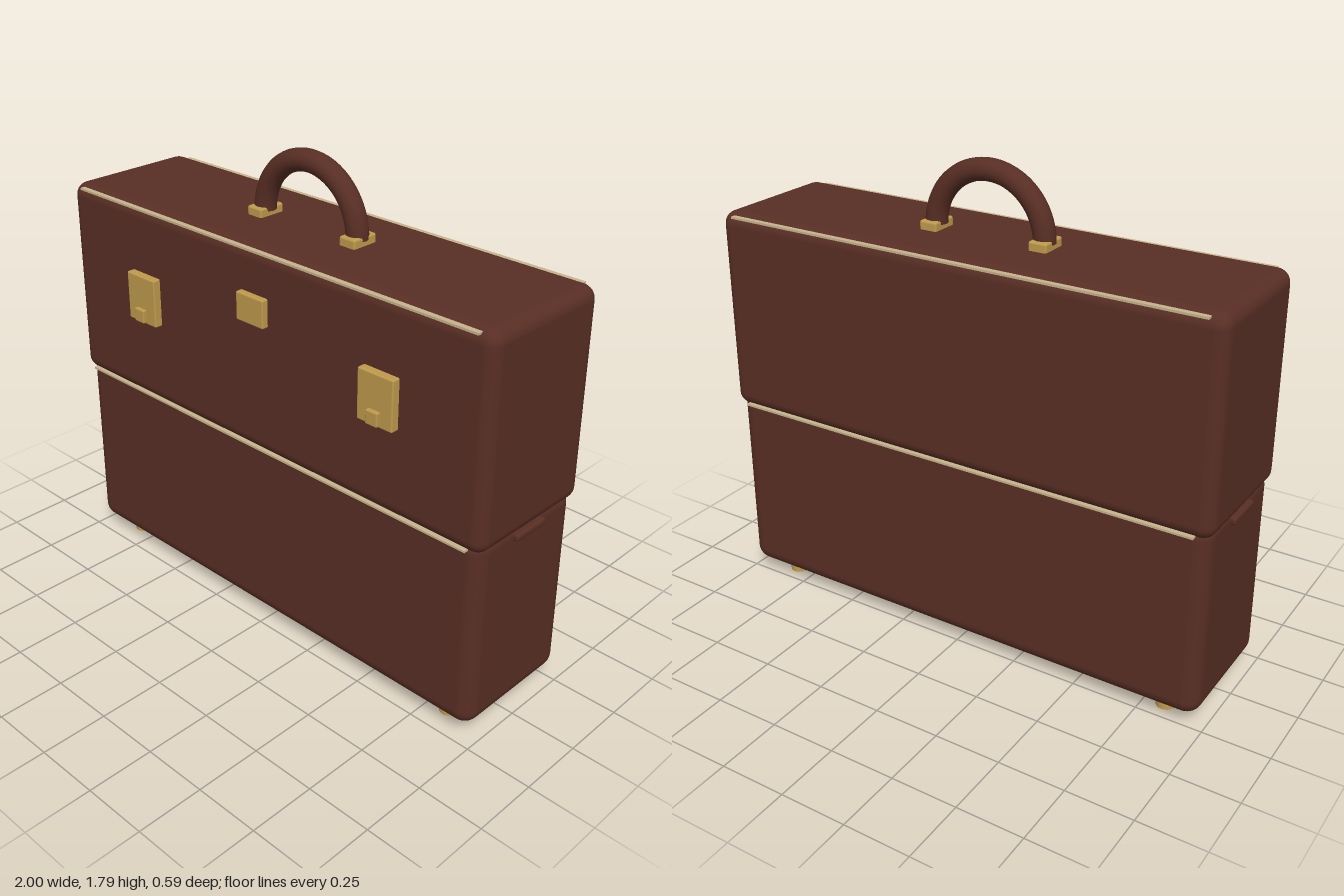
import * as THREE from 'three';
import { RoundedBoxGeometry } from 'three/addons/geometries/RoundedBoxGeometry.js';

const material = (name, color) => {
  const m = new THREE.MeshStandardMaterial({ color });
  m.name = name;
  return m;
};

export function createModel() {
  const model = new THREE.Group();
  model.name = 'briefcase';
  const leather = material('brown leather', 0x582e24);
  const brass = material('brass', 0xbf9a4c);
  const thread = material('beige stitching', 0xc6b48c);
  const midZ = -0.02;

  const add = (name, geometry, mat, x, y, z) => {
    const mesh = new THREE.Mesh(geometry, mat);
    mesh.name = name;
    mesh.position.set(x, y, z);
    model.add(mesh);
    return mesh;
  };
  const rounded = (w, h, d, r, n = 5) => new RoundedBoxGeometry(w, h, d, n, r);

  // Case: lower body with a slightly larger lid over it
  add('lowerBody', rounded(1.965, 0.75, 0.515, 0.06), leather, 0, 0.425, midZ);
  add('lid', rounded(1.99, 0.77, 0.54, 0.05), leather, 0, 1.135, midZ);

  // Stitched seams along the front and back
  for (const side of [1, -1]) {
    for (const y of [1.505, 0.76]) {
      add('stitching', new THREE.BoxGeometry(1.87, 0.008, 0.02), thread, 0, y, midZ + side * 0.262);
    }
  }

  // Handle arch
  add('handle', new THREE.TorusGeometry(0.218, 0.04, 20, 40, Math.PI), leather, 0, 1.537, midZ);

  for (const side of [1, -1]) {
    // Handle mounts
    add('handleMount', rounded(0.07, 0.04, 0.11, 0.008, 2), brass, side * 0.22, 1.532, midZ);

    // Latches with a small catch at the bottom
    add('latch', rounded(0.15, 0.185, 0.036, 0.006, 2), brass, side * 0.572, 1.172, 0.262);
    add('latchCatch', rounded(0.05, 0.052, 0.025, 0.005, 2), brass, side * 0.572, 1.112, 0.283);

    // Side tabs at the seam
    add('sideTab', rounded(0.04, 0.028, 0.155, 0.01, 3), leather, side * 0.98, 0.744, midZ);

    // Feet
    for (const z of [0.137, -0.175]) {
      add('foot', new THREE.CylinderGeometry(0.035, 0.035, 0.07, 20), brass, side * 0.83, 0.035, z);
    }
  }

  // Centre lock plate
  add('lockPlate', rounded(0.13, 0.105, 0.03, 0.006, 2), brass, 0, 1.302, 0.26);

  return model;
}
